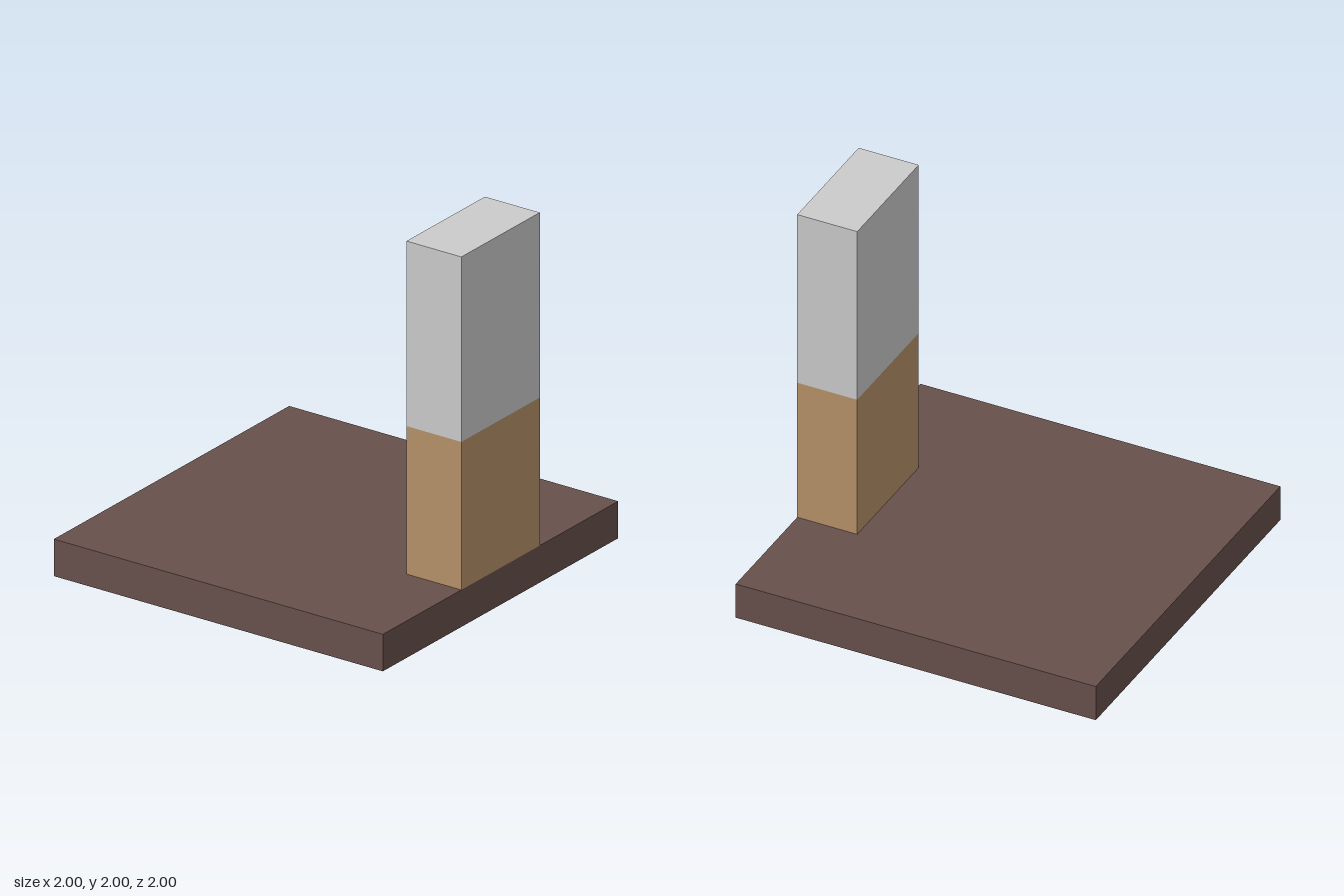
import * as THREE from 'three';

// Box with its bottom at y0 and its top at y1
function block(name, width, depth, y0, y1, z, color) {
  const mesh = new THREE.Mesh(
    new THREE.BoxGeometry(width, y1 - y0, depth),
    new THREE.MeshStandardMaterial({ color })
  );
  mesh.name = name;
  mesh.position.set(0, (y0 + y1) / 2, z);
  return mesh;
}

export function createModel() {
  const model = new THREE.Group();
  model.name = 'postOnBase';

  const width = 2 / 3, depth = 1 / 3;
  const z = 1 - depth / 2; // post is flush with the front edge of the base

  model.add(
    block('base', 2, 2, 0, 0.2, 0, 0x68504b),
    block('lowerPost', width, depth, 0.2, 1, z, 0xb79269),
    block('upperPost', width, depth, 1, 2, z, 0xcccccc)
  );
  return model;
}
